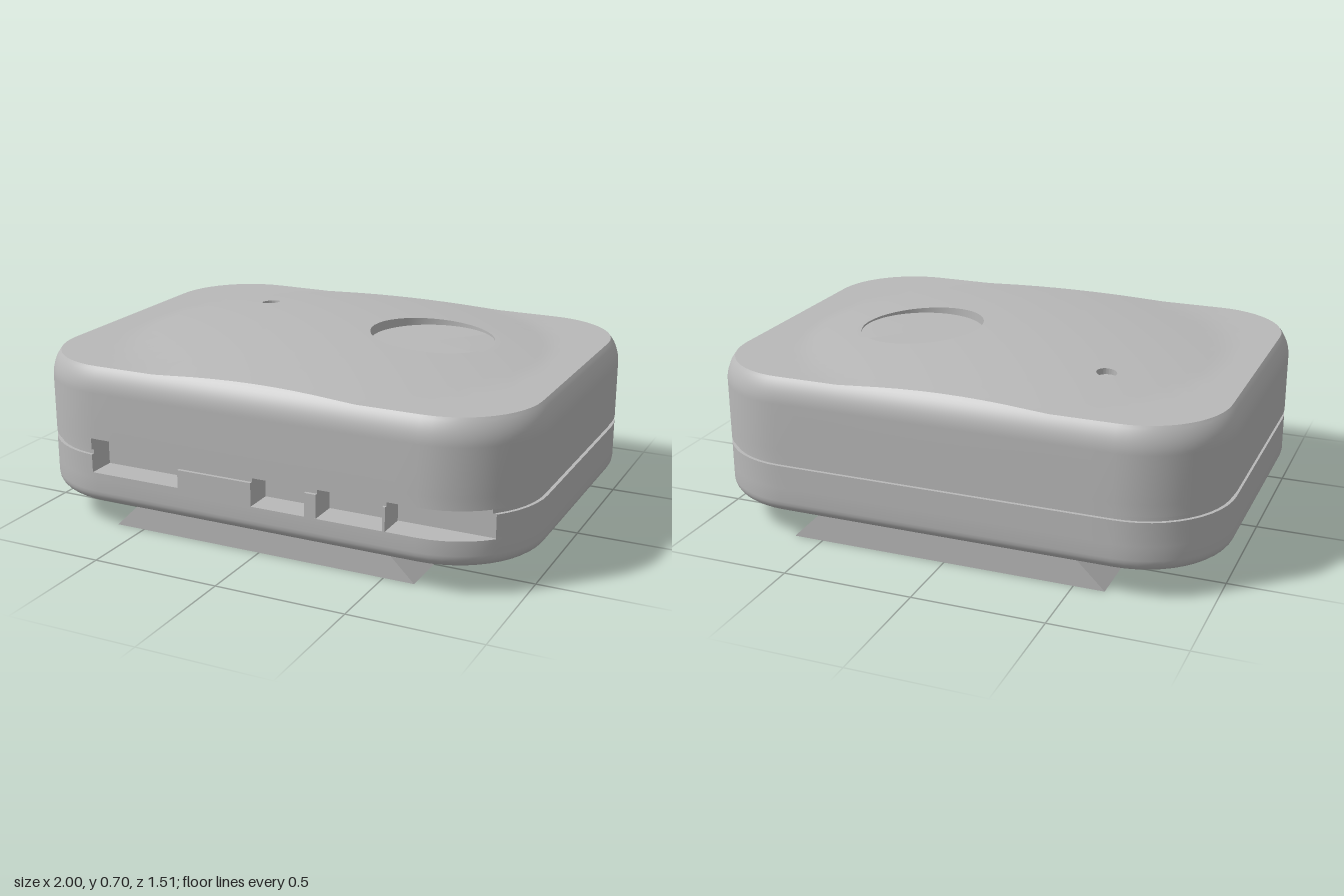
import * as THREE from 'three';
import { mergeGeometries, toCreasedNormals } from 'three/addons/utils/BufferGeometryUtils.js';

const W = 1, D = 0.757, R = 0.35;          // half width, half depth, corner radius
const CX = W - R, CZ = D - R;
const ARC = 12, STEPS = 16, SIDE = ARC + STEPS;

// Rounded-rectangle outline, counter-clockwise from above: arc centre + outward normal
const base = [];
const centres = [[CX, -CZ], [-CX, -CZ], [-CX, CZ], [CX, CZ]];
centres.forEach(([x, z], k) => {
  for (let i = 0; i <= ARC; i++) {
    const a = (k + i / ARC) * Math.PI / 2;
    base.push({ x, z, nx: Math.cos(a), nz: -Math.sin(a) });
  }
  const [x2, z2] = centres[(k + 1) % 4], n = base[base.length - 1];
  for (let i = 1; i < STEPS; i++) {
    const t = i / STEPS;
    base.push({ x: x + (x2 - x) * t, z: z + (z2 - z) * t, nx: n.nx, nz: n.nz });
  }
});

const V = (x, y, z) => new THREE.Vector3(x, y, z);
const at = (b, inset, y) => V(b.x + b.nx * (R - inset), y, b.z + b.nz * (R - inset));
const ring = (inset, y) => base.map(b => at(b, inset, y));
const point = (x, y, z) => base.map(() => V(x, y, z));
const dome = (x, z) => Math.max(0.64, 0.70 - 0.089 * (x * x + z * z));

// Skin between closed rings of equal length
function loft(rings) {
  const n = rings[0].length, pos = [], idx = [];
  rings.forEach(r => r.forEach(p => pos.push(p.x, p.y, p.z)));
  for (let i = 0; i < rings.length - 1; i++) {
    for (let j = 0; j < n; j++) {
      const a = i * n + j, b = i * n + (j + 1) % n;
      idx.push(a, b, b + n, a, b + n, a + n);
    }
  }
  const g = new THREE.BufferGeometry();
  g.setAttribute('position', new THREE.Float32BufferAttribute(pos, 3));
  g.setIndex(idx);
  return g;
}

// Horizontal slice of the case with port notches cut into its front
const PORT_BACK = 0.645;
const wide = [-0.67, -0.295];
const small = [[0.01, 0.225], [0.27, 0.525], [0.535, 0.9]];
function slab(y0, y1, inset, notches) {
  const r = R - inset;
  const frontZ = x => CZ + Math.sqrt(r * r - Math.max(0, Math.abs(x) - CX) ** 2);
  let pts = ring(inset, 0).map(p => [p.x, p.z]);
  for (const [x0, end] of notches) {
    const x1 = inset ? Math.min(end, 0.885) : end;
    pts = pts.filter(([x, z]) => !(z > 0.3 && x >= x0 && x <= x1));
    const i = pts.findIndex(([x, z]) => z > 0.3 && x > x1);
    pts.splice(i, 0, [x0, frontZ(x0)], [x0, PORT_BACK], [x1, PORT_BACK], [x1, frontZ(x1)]);
  }
  const shape = new THREE.Shape(pts.map(([x, z]) => new THREE.Vector2(x, -z)));
  const g = new THREE.ExtrudeGeometry(shape, { depth: y1 - y0, bevelEnabled: false });
  return g.rotateX(-Math.PI / 2).translate(0, y0, 0);
}

// Upper edge: a fillet cut off by the domed top
const FR = 0.15, FY = 0.545;
const filletInset = y => FR - Math.sqrt(FR * FR - (y - FY) ** 2);
const rim = base.map(b => {
  let p = at(b, filletInset(0.64), 0.64);
  for (let i = 0; i < 8; i++) {
    const y = dome(p.x, p.z);
    p = at(b, filletInset(y), y);
  }
  return p;
});

// Half of the domed top, running in to a round recess and down to its floor
function topHalf(border, cx, cz, r, floor) {
  const hole = border.map(p => {
    const a = Math.atan2(p.z - cz, p.x - cx);
    const x = cx + r * Math.cos(a), z = cz + r * Math.sin(a);
    return V(x, dome(x, z), z);
  });
  const rings = [];
  for (let i = 0; i <= 12; i++) {
    rings.push(border.map((p, j) => {
      const q = p.clone().lerp(hole[j], i / 12);
      q.y = i ? dome(q.x, q.z) : p.y;
      return q;
    }));
  }
  rings.push(hole.map(p => V(p.x, floor, p.z)), hole.map(() => V(cx, floor, cz)));
  return loft(rings);
}

export function createModel() {
  const group = new THREE.Group();
  const grey = new THREE.MeshStandardMaterial({ color: 0xb8b8b8 });
  grey.name = 'grey plastic';
  const add = (name, geos) => {
    const plain = geos.map(g => {
      const n = g.index ? g.toNonIndexed() : g;
      n.deleteAttribute('uv');
      n.deleteAttribute('normal');
      n.computeVertexNormals();
      return n;
    });
    const mesh = new THREE.Mesh(toCreasedNormals(mergeGeometries(plain), 0.5), grey);
    mesh.name = name;
    group.add(mesh);
  };

  // Lower shell with rounded bottom edge and port notches
  const lower = [point(0, 0.105, 0)];
  for (let i = 0; i <= 6; i++) {
    const a = i / 6 * Math.PI / 2;
    lower.push(ring(0.05 * (1 - Math.sin(a)), 0.155 - 0.05 * Math.cos(a)));
  }
  lower.push(ring(0, 0.21), point(0, 0.21, 0));
  add('lowerShell', [loft(lower), slab(0.21, 0.23, 0, small), slab(0.23, 0.3, 0, [wide, ...small])]);

  // Recessed seam between the shells
  add('seam', [slab(0.3, 0.32, 0.013, [wide, ...small])]);

  // Upper shell with filleted edge
  const upper = [point(0, 0.365, 0), ring(0, 0.365)];
  for (let k = 0; k <= 10; k++) {
    upper.push(base.map((b, j) => {
      const y = FY + (rim[j].y - FY) * k / 10;
      return at(b, filletInset(y), y);
    }));
  }
  add('upperShell', [slab(0.32, 0.365, 0, [wide]), loft(upper)]);

  // Domed top in two halves, one around each recess
  const back = ARC + STEPS / 2, front = back + 2 * SIDE;
  const seamLine = [];
  for (let i = 1; i < 24; i++) {
    const z = THREE.MathUtils.lerp(rim[back].z, rim[front].z, i / 24);
    seamLine.push(V(0, dome(0, z), z));
  }
  const rightBorder = [...rim.slice(0, back + 1), ...seamLine, ...rim.slice(front)];
  const leftBorder = [...rim.slice(back, front + 1), ...seamLine.slice().reverse()];
  add('domedTop', [
    topHalf(rightBorder, 0.36, -0.08, 0.242, 0.66),
    topHalf(leftBorder, -0.483, -0.325, 0.038, 0.65),
  ]);

  // Dovetail foot, with a rectangular slot in its underside
  const rail = (z0, z1, slot) => {
    const pts = [[-0.617, 0], ...slot, [0.617, 0], [0.51, 0.105], [-0.51, 0.105]];
    const shape = new THREE.Shape(pts.map(p => new THREE.Vector2(...p)));
    return new THREE.ExtrudeGeometry(shape, { depth: z1 - z0, bevelEnabled: false }).translate(0, 0, z0);
  };
  add('dovetailFoot', [
    rail(-0.715, -0.58, []),
    rail(-0.58, -0.385, [[-0.18, 0], [-0.18, 0.06], [0.18, 0.06], [0.18, 0]]),
    rail(-0.385, 0.685, []),
  ]);
  return group;
}
